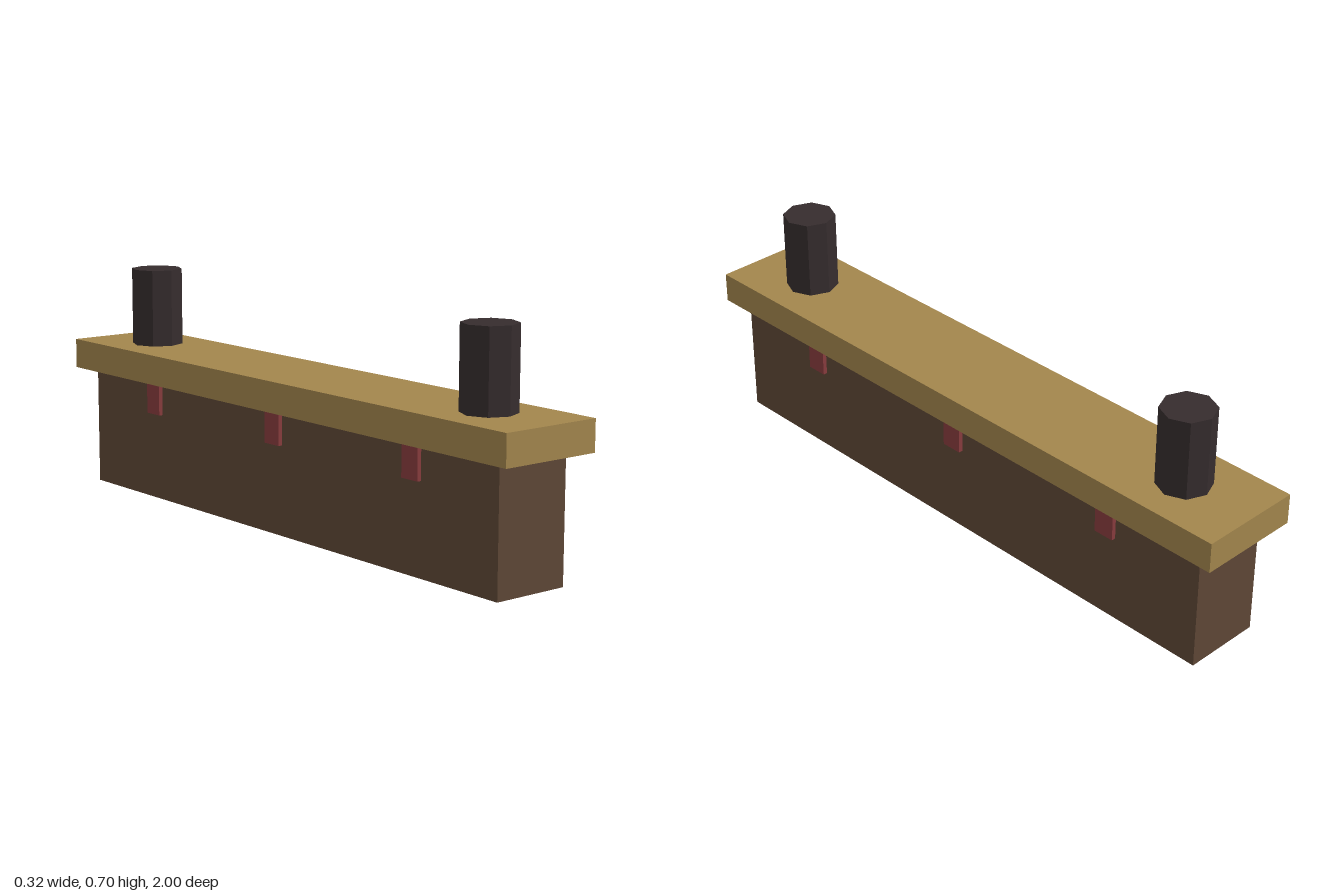
import * as THREE from 'three';

const material = (name, color) => {
  const m = new THREE.MeshStandardMaterial({ color });
  m.name = name;
  return m;
};

export function createModel() {
  const brown = material('dark wood', 0x5e4736);
  const tan = material('tan cap', 0xa3864d);
  const red = material('red cleat', 0x883c3e);
  const black = material('dark post', 0x362d2e);

  const model = new THREE.Group();
  model.name = 'cappedWall';
  const add = (name, geometry, mat, x, y, z) => {
    const mesh = new THREE.Mesh(geometry, mat);
    mesh.name = name;
    mesh.position.set(x, y, z);
    model.add(mesh);
  };

  // Long base and overhanging cap
  add('base', new THREE.BoxGeometry(0.24, 0.37, 1.87), brown, 0, 0.185, 0);
  add('cap', new THREE.BoxGeometry(0.32, 0.092, 2), tan, 0, 0.415, 0);

  // Octagonal posts near both ends
  const post = new THREE.CylinderGeometry(0.08, 0.08, 0.24, 8).toNonIndexed();
  post.computeVertexNormals();
  for (const z of [0.767, -0.767]) {
    add(z > 0 ? 'frontPost' : 'backPost', post, black, 0, 0.581, z);
  }

  // Three cleats under the cap on each side
  const cleat = new THREE.BoxGeometry(0.026, 0.1, 0.065);
  for (const side of [1, -1]) {
    for (const z of [0.603, 0, -0.603]) {
      add(side > 0 ? 'leftCleat' : 'rightCleat', cleat, red, side * 0.12, 0.319, z);
    }
  }
  return model;
}
